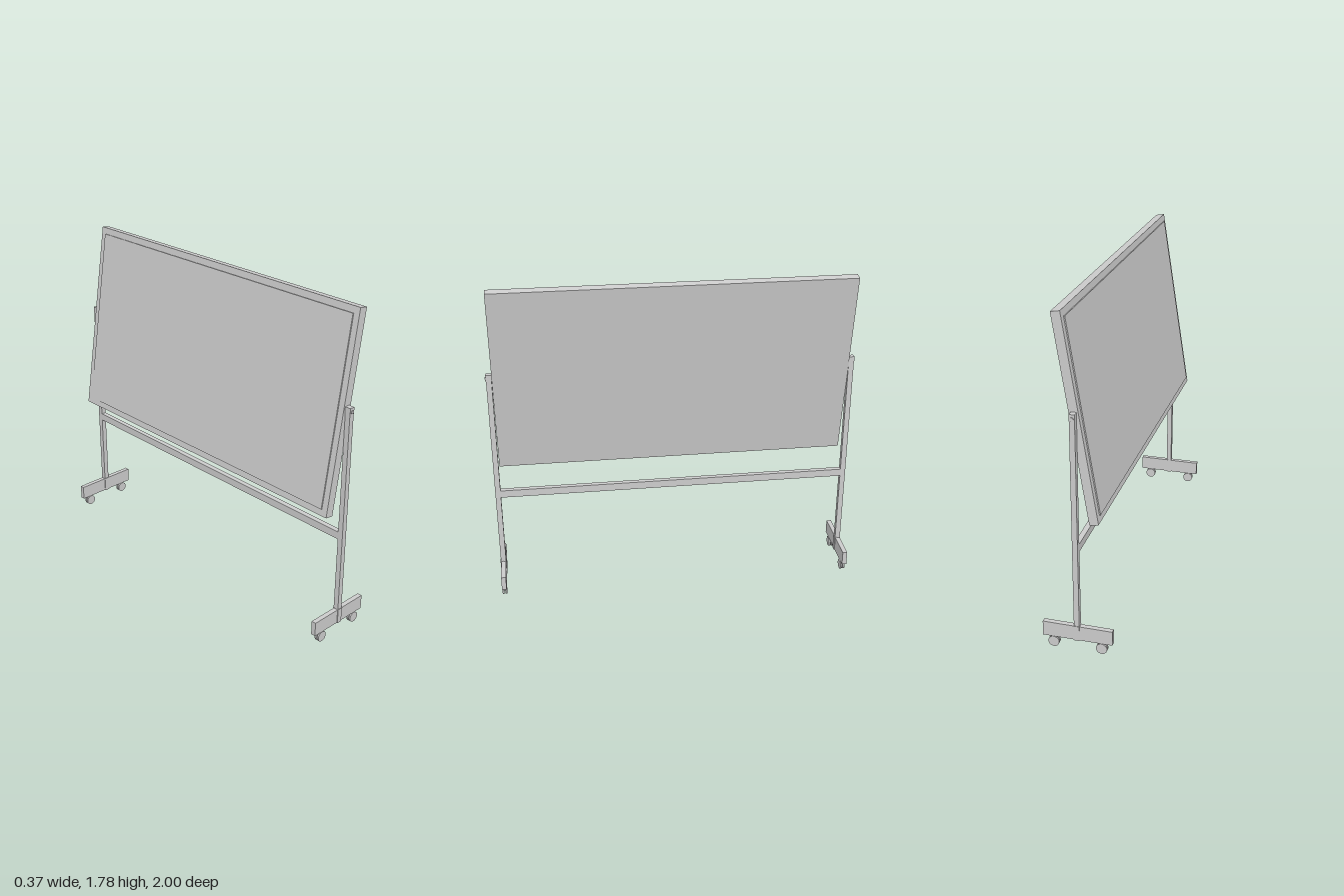
import * as THREE from 'three';

const grey = new THREE.MeshStandardMaterial({ color: 0xcccccc, flatShading: true });
const smooth = new THREE.MeshStandardMaterial({ color: 0xcccccc });

function box(parent, name, size, pos) {
  const m = new THREE.Mesh(new THREE.BoxGeometry(...size), grey);
  m.name = name;
  m.position.set(...pos);
  parent.add(m);
  return m;
}

// Cylinder lying along z
function disc(parent, name, radius, length, pos) {
  const m = new THREE.Mesh(new THREE.CylinderGeometry(radius, radius, length, 24).rotateX(Math.PI / 2), smooth);
  m.name = name;
  m.position.set(...pos);
  parent.add(m);
  return m;
}

// Twin-wheel caster with a hub between the wheels
function caster(parent, x, z) {
  const g = new THREE.Group();
  g.name = 'caster';
  for (const s of [-1, 1]) disc(g, 'wheel', 0.029, 0.009, [0, 0.029, s * 0.008]);
  disc(g, 'axle', 0.01, 0.016, [0, 0.029, 0]);
  box(g, 'casterStem', [0.012, 0.035, 0.007], [0, 0.0475, 0]);
  g.position.set(x, 0, z);
  parent.add(g);
}

export function createModel() {
  const model = new THREE.Group();
  model.name = 'rollingBoard';

  // Tilted board with a thin writing panel on its -x face
  const board = new THREE.Group();
  board.name = 'board';
  board.position.set(-0.006, 1.244, 0);
  board.rotation.z = -0.1565;
  box(board, 'boardBody', [0.047, 1.071, 1.928], [0, 0, 0]);
  box(board, 'writingPanel', [0.008, 1.0, 1.86], [-0.0255, 0, 0]);
  model.add(board);

  // Rail joining the two posts
  box(model, 'crossbar', [0.028, 0.042, 1.936], [0, 0.579, 0]);

  // Mirrored stands at both ends
  for (const s of [-1, 1]) {
    const stand = new THREE.Group();
    stand.name = 'stand';
    const z = s * 0.98;
    box(stand, 'post', [0.028, 1.194, 0.029], [0, 0.697, z]);
    box(stand, 'postCap', [0.029, 0.035, 0.032], [0, 1.277, z]);
    box(stand, 'foot', [0.365, 0.08, 0.026], [-0.003, 0.1, z]);
    box(stand, 'footSleeve', [0.029, 0.084, 0.034], [0, 0.1, z]);
    disc(stand, 'pivotBolt', 0.009, 0.05, [0, 1.272, s * 0.975]);
    for (const x of [-0.128, 0.124]) caster(stand, x, z);
    model.add(stand);
  }
  return model;
}
